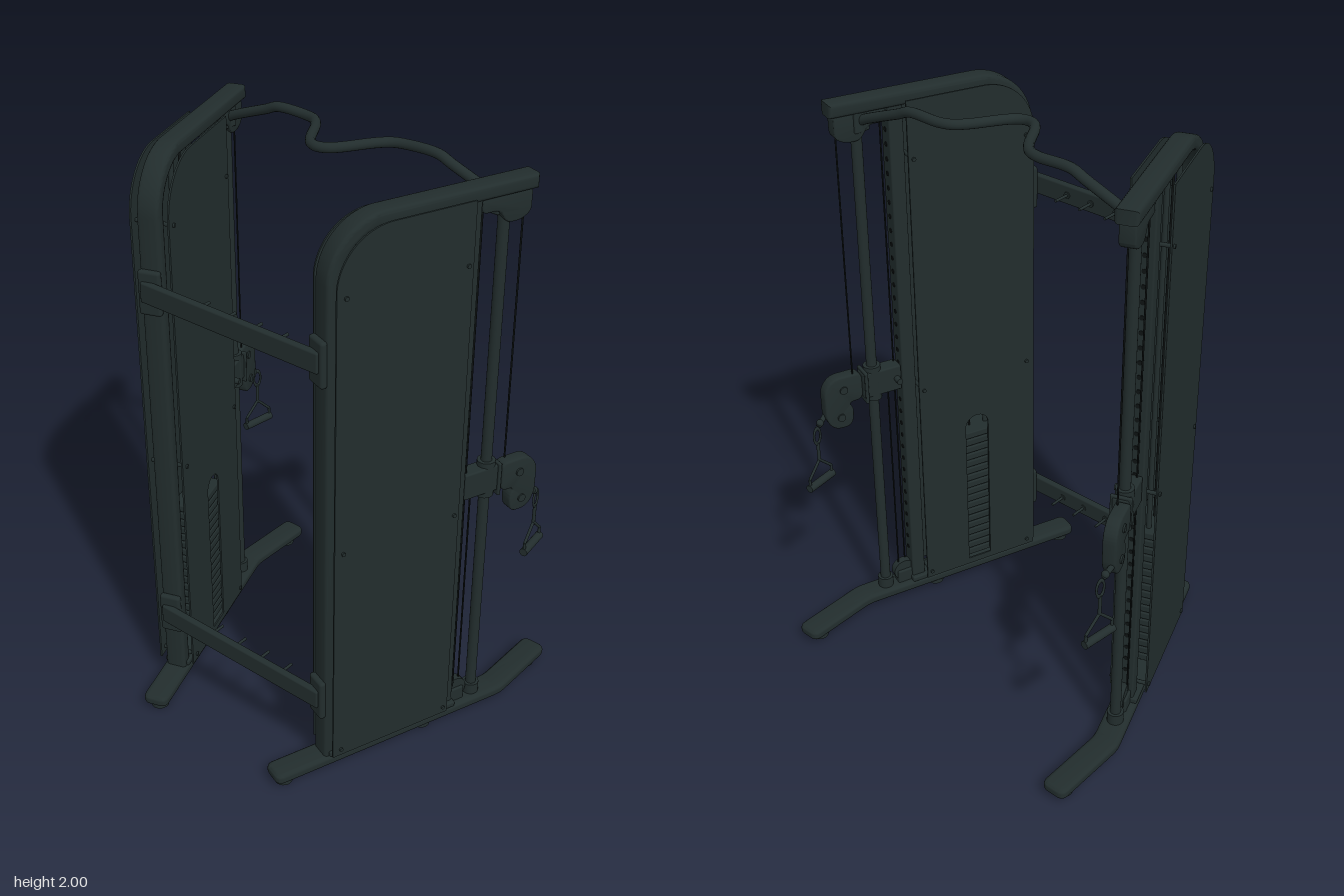
import * as THREE from 'three';
import { toCreasedNormals } from 'three/addons/utils/BufferGeometryUtils.js';
import { RoundedBoxGeometry } from 'three/addons/geometries/RoundedBoxGeometry.js';

const V = (x, y, z) => new THREE.Vector3(x, y, z);
const frameMat = new THREE.MeshStandardMaterial({ color: 0x222d2d });
frameMat.name = 'dark slate';
const cableMat = new THREE.MeshStandardMaterial({ color: 0x0e1313 });
cableMat.name = 'cable black';

function add(parent, name, geo, x = 0, y = 0, z = 0, mat = frameMat) {
  const m = new THREE.Mesh(geo, mat);
  m.name = name;
  m.position.set(x, y, z);
  parent.add(m);
  return m;
}

// Round bar between two points
function rod(parent, name, a, b, r, mat = frameMat, sides = 12) {
  const m = add(parent, name, new THREE.CylinderGeometry(r, r, a.distanceTo(b), sides), 0, 0, 0, mat);
  m.position.copy(a).lerp(b, 0.5);
  m.quaternion.setFromUnitVectors(V(0, 1, 0), b.clone().sub(a).normalize());
  return m;
}

const box = (w, h, d, r = 0.006) => new RoundedBoxGeometry(w, h, d, 2, r);

// Polygon with every corner rounded
function roundedPoly(pts, radius) {
  const p = pts.map(([x, y]) => new THREE.Vector2(x, y));
  const s = new THREE.Shape();
  p.forEach((c, i) => {
    const toward = (q) => c.clone().add(q.clone().sub(c).setLength(Math.min(radius, q.distanceTo(c) * 0.48)));
    const a = toward(p[(i + p.length - 1) % p.length]);
    const b = toward(p[(i + 1) % p.length]);
    if (i) s.lineTo(a.x, a.y); else s.moveTo(a.x, a.y);
    s.quadraticCurveTo(c.x, c.y, b.x, b.y);
  });
  s.closePath();
  return s;
}

// Extrusion centred on its thickness, edges softened without growing
function extrude(shape, depth, bevel = 0) {
  const g = new THREE.ExtrudeGeometry(shape, {
    depth: depth - 2 * bevel, bevelEnabled: bevel > 0, bevelSize: bevel,
    bevelThickness: bevel, bevelOffset: -bevel, bevelSegments: 3, curveSegments: 14,
  });
  g.translate(0, 0, bevel - depth / 2);
  return toCreasedNormals(g, 0.6);
}

// Bent tube: up the rear, round the top corner, forward along the top
function frameShape() {
  const s = new THREE.Shape();
  s.moveTo(-0.405, 0.05);
  s.lineTo(-0.405, 1.785);
  s.absarc(-0.215, 1.785, 0.19, Math.PI, Math.PI / 2, true);
  s.lineTo(0.3, 1.975);
  s.lineTo(0.3, 1.93);
  s.lineTo(-0.215, 1.93);
  s.absarc(-0.215, 1.785, 0.145, Math.PI / 2, Math.PI, false);
  s.lineTo(-0.36, 0.05);
  s.closePath();
  return s;
}

// Side sheet with one large rounded corner, and a slot if wanted
function panelShape(slot) {
  const s = new THREE.Shape();
  s.moveTo(-0.392, 0.075);
  s.lineTo(-0.392, 1.775);
  s.absarc(-0.212, 1.775, 0.18, Math.PI, Math.PI / 2, true);
  s.lineTo(0.06, 1.955);
  s.lineTo(0.06, 0.075);
  s.closePath();
  if (slot) {
    const h = new THREE.Path();
    h.moveTo(-0.205, 0.1);
    h.lineTo(-0.115, 0.1);
    h.lineTo(-0.115, 0.69);
    h.absarc(-0.16, 0.69, 0.045, 0, Math.PI, false);
    h.closePath();
    s.holes.push(h);
  }
  return s;
}

// Bent floor foot, drawn in plan
function buildFoot(root, s) {
  const foot = new THREE.Group();
  foot.name = 'foot';
  const outline = [[-0.568, 0.314], [0.272, 0.62], [0.56, 0.62], [0.56, 0.53], [0.288, 0.53], [-0.538, 0.23]];
  const g = extrude(roundedPoly(outline.map(([x, z]) => [x, z * s]), 0.028), 0.038, 0.014);
  g.rotateX(Math.PI / 2);
  add(foot, 'footTube', g, 0, 0.041, 0);
  for (const [x, z] of [[-0.51, 0.287], [0.0, 0.473], [0.5, 0.575]])
    add(foot, 'footPad', new THREE.CylinderGeometry(0.03, 0.03, 0.024, 20), x, 0.012, z * s);
  root.add(foot);
}

function buildTower(root, s) {
  const t = new THREE.Group();
  t.name = s > 0 ? 'frontTower' : 'rearTower';
  t.position.z = 0.473 * s;
  t.rotation.y = -s * THREE.MathUtils.degToRad(20);
  root.add(t);

  add(t, 'bentFrameTube', extrude(frameShape(), 0.072, 0.012));
  add(t, 'outerPanel', extrude(panelShape(false), 0.006), 0, 0, 0.062 * s);
  add(t, 'innerPanel', extrude(panelShape(true), 0.006), 0, 0, -0.062 * s);
  add(t, 'basePlate', box(0.5, 0.022, 0.09), -0.14, 0.068, 0);

  // Bolts that hold the panels
  for (const u of [-0.362, 0.042]) for (const y of [0.1, 0.9, 1.76])
    rod(t, 'panelBolt', V(u, y, -0.071), V(u, y, 0.071), 0.007, frameMat, 8);

  // Weight stack on two guide rods
  for (let i = 0; i < 18; i++)
    add(t, 'weightPlate', box(0.2, 0.026, 0.1, 0.004), -0.16, 0.115 + i * 0.031, 0);
  for (const u of [-0.225, -0.095])
    rod(t, 'weightGuideRod', V(u, 0.07, 0), V(u, 1.94, 0), 0.009);
  rod(t, 'stackCable', V(-0.16, 0.65, 0), V(-0.16, 1.94, 0), 0.004, cableMat, 8);

  // Upright post with a row of adjustment holes
  add(t, 'uprightPost', box(0.05, 1.89, 0.06), 0.08, 0.995, 0);
  for (let i = 0; i < 34; i++)
    rod(t, 'adjustmentHole', V(0.104, 0.2 + i * 0.05, 0), V(0.107, 0.2 + i * 0.05, 0), 0.008, cableMat, 10);

  // Round slide rail with end collars
  rod(t, 'slideRail', V(0.204, 0.05, 0), V(0.204, 1.94, 0), 0.018, frameMat, 20);
  rod(t, 'railCollar', V(0.204, 0.05, 0), V(0.204, 0.1, 0), 0.028, frameMat, 20);

  // Top pulley housing
  const housing = roundedPoly([[0.11, 1.935], [0.285, 1.935], [0.285, 1.86], [0.25, 1.84], [0.2, 1.84], [0.17, 1.885], [0.11, 1.885]], 0.018);
  add(t, 'topPulleyHousing', extrude(housing, 0.05, 0.005));

  // Bottom pulley
  rod(t, 'bottomPulley', V(0.13, 0.105, -0.014), V(0.13, 0.105, 0.014), 0.042, frameMat, 24);
  add(t, 'bottomPulleyBracket', box(0.06, 0.06, 0.045), 0.13, 0.08, 0);

  // Cables beside the rail
  rod(t, 'upperCable', V(0.273, 1.85, 0), V(0.276, 0.99, 0), 0.003, cableMat, 8);
  rod(t, 'lowerCable', V(0.149, 0.11, 0), V(0.149, 0.92, 0), 0.003, cableMat, 8);
  rod(t, 'innerCable', V(0.118, 0.12, 0.012 * s), V(0.118, 1.9, 0.012 * s), 0.003, cableMat, 8);

  // Sliding carriage
  rod(t, 'carriageSleeve', V(0.204, 0.89, 0), V(0.204, 1.02, 0), 0.03, frameMat, 20);
  add(t, 'carriageBody', box(0.14, 0.095, 0.055), 0.177, 0.955, 0);
  add(t, 'carriagePlate', box(0.012, 0.12, 0.07, 0.004), 0.238, 0.95, 0);
  rod(t, 'lockingPin', V(0.125, 0.955, 0), V(0.125, 0.955, -0.055 * s), 0.011);

  // Hooked swivel arm with its pulley hubs
  const arm = roundedPoly([[0.245, 0.9], [0.245, 1.005], [0.35, 1.005], [0.385, 0.965], [0.385, 0.85], [0.355, 0.805], [0.29, 0.805], [0.28, 0.87], [0.3, 0.9]], 0.028);
  add(t, 'swivelArm', extrude(arm, 0.045, 0.006), 0, 0, 0.012 * s);
  for (const [u, y] of [[0.315, 0.955], [0.33, 0.85]])
    rod(t, 'pulleyHub', V(u, y, 0.012 * s - 0.028), V(u, y, 0.012 * s + 0.028), 0.014, frameMat, 16);

  // Flanges that carry the cross beams
  for (const y of [1.548, 0.308])
    add(t, 'beamFlange', box(0.024, 0.15, 0.075, 0.01), -0.413, y, 0);
}

// Hanging stirrup handle
function buildHandle(root, s) {
  const h = new THREE.Group();
  h.name = 'handle';
  h.position.set(0.395, 0, 0.617 * s);
  h.rotation.y = 0.12 * s;
  rod(h, 'cableEnd', V(-0.055, 0.862, 0), V(-0.01, 0.83, 0), 0.009);
  add(h, 'cableStop', new THREE.SphereGeometry(0.013, 12, 8), -0.02, 0.84, 0);
  const clip = add(h, 'clip', new THREE.TorusGeometry(0.016, 0.004, 8, 20), 0, 0.797, 0);
  clip.scale.y = 1.9;
  rod(h, 'clipStem', V(0, 0.77, 0), V(0, 0.7, 0), 0.006);
  for (const k of [-1, 1]) {
    rod(h, 'strap', V(0, 0.7, 0), V(0.056 * k, 0.645, 0), 0.005);
    rod(h, 'strap', V(0.056 * k, 0.645, 0), V(0.056 * k, 0.61, 0), 0.005);
  }
  rod(h, 'grip', V(-0.062, 0.61, 0), V(0.062, 0.61, 0), 0.014, frameMat, 16);
  root.add(h);
}

export function createModel() {
  const root = new THREE.Group();
  root.name = 'cableTrainer';
  for (const s of [1, -1]) {
    buildFoot(root, s);
    buildTower(root, s);
    buildHandle(root, s);
  }

  // Cross beams with storage pegs
  for (const y of [1.555, 0.312]) {
    add(root, 'crossBeam', box(0.026, 0.068, 0.7), -0.403, y, 0);
    for (const z of [-0.14, -0.035, 0.07, 0.17]) {
      rod(root, 'storagePeg', V(-0.395, y, z), V(-0.33, y, z), 0.005, frameMat, 10);
      rod(root, 'pegWasher', V(-0.392, y, z), V(-0.386, y, z), 0.012, frameMat, 12);
    }
  }

  // Pull-up bar with a vee in the middle and drooping ends
  const half = [V(0.185, 1.895, 0.54), V(0.185, 1.917, 0.49), V(0.185, 1.965, 0.36), V(0.185, 1.984, 0.31),
    V(0.185, 1.984, 0.19), V(0.172, 1.984, 0.15), V(0.14, 1.984, 0.118), V(0.04, 1.984, 0.055), V(0.014, 1.984, 0.03)];
  const other = half.map((p) => V(p.x, p.y, -p.z)).reverse();
  const bar = new THREE.CatmullRomCurve3([...half, V(0.004, 1.984, 0), ...other], false, 'centripetal');
  add(root, 'pullUpBar', new THREE.TubeGeometry(bar, 120, 0.016, 14, false));
  for (const s of [1, -1])
    add(root, 'barMount', box(0.06, 0.07, 0.03), 0.185, 1.9, 0.53 * s);
  return root;
}
